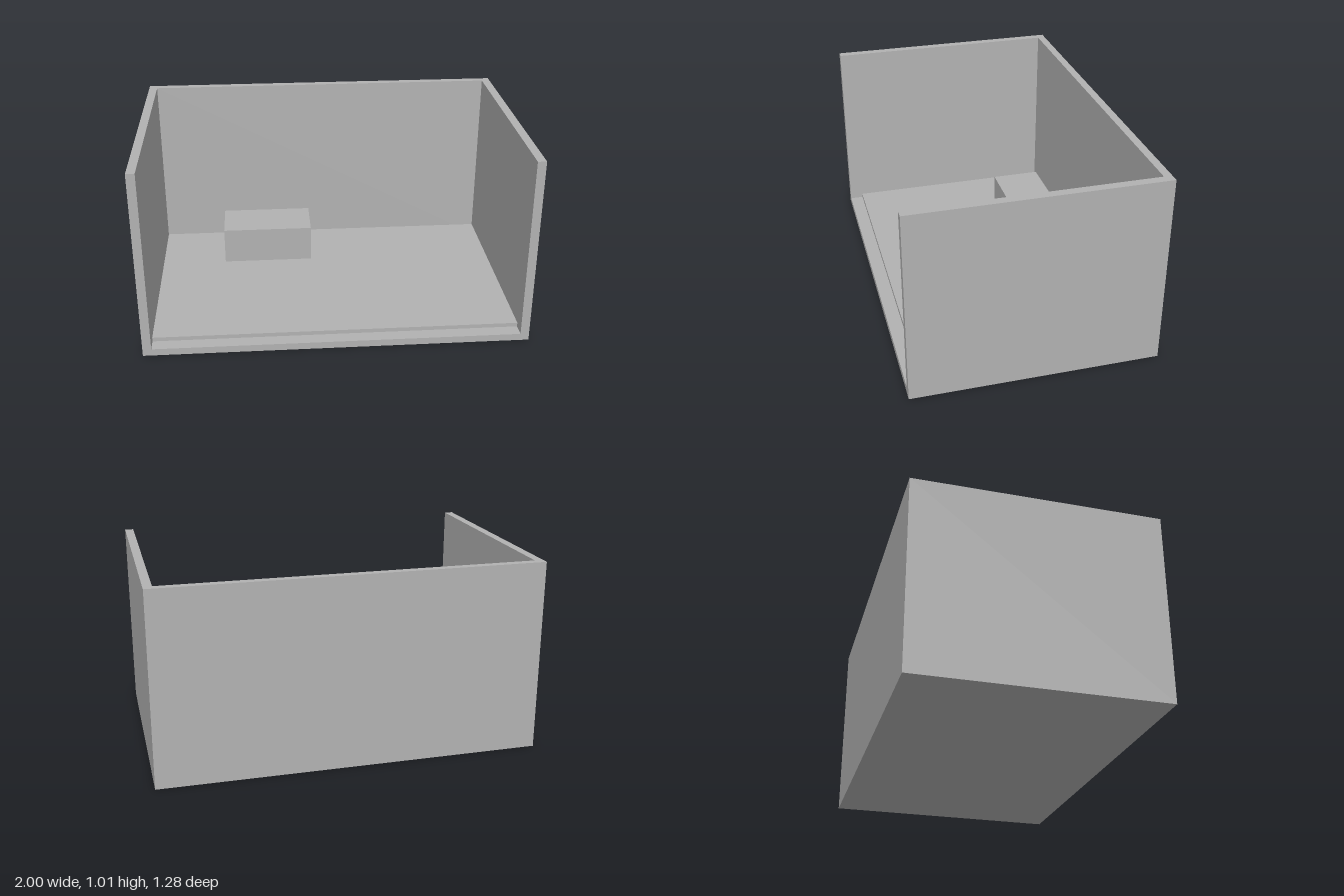
import * as THREE from 'three';

export function createModel() {
  const group = new THREE.Group();
  const grey = new THREE.MeshStandardMaterial({ color: 0xb2b2b2 });
  grey.name = 'grey';

  const X = 1, Z = 0.64, H = 1.012; // outer half width, half depth, height
  const inX = 0.955, inZ = 0.598; // inner wall faces

  function add(name, geometry) {
    const mesh = new THREE.Mesh(geometry, grey);
    mesh.name = name;
    group.add(mesh);
  }

  // Box given by its minimum and maximum corners
  function box(name, [x0, y0, z0], [x1, y1, z1]) {
    const g = new THREE.BoxGeometry(x1 - x0, y1 - y0, z1 - z0);
    g.translate((x0 + x1) / 2, (y0 + y1) / 2, (z0 + z1) / 2);
    add(name, g);
  }

  // Back and side walls: one U-shaped plan, open at the front
  const plan = new THREE.Shape([
    [-X, -Z], [-inX, -Z], [-inX, inZ], [inX, inZ],
    [inX, -Z], [X, -Z], [X, Z], [-X, Z],
  ].map(([x, y]) => new THREE.Vector2(x, y)));
  const walls = new THREE.ExtrudeGeometry(plan, { depth: H, bevelEnabled: false });
  walls.rotateX(-Math.PI / 2);
  add('walls', walls);

  // Base slab, with the raised floor set back to leave a front step
  box('baseSlab', [-inX, 0, -inZ], [inX, 0.037, Z]);
  box('raisedFloor', [-inX, 0.037, -inZ], [inX, 0.059, 0.567]);

  // Block standing on the floor
  box('block', [-0.594, 0.059, -0.488], [-0.09, 0.262, -0.22]);

  return group;
}
